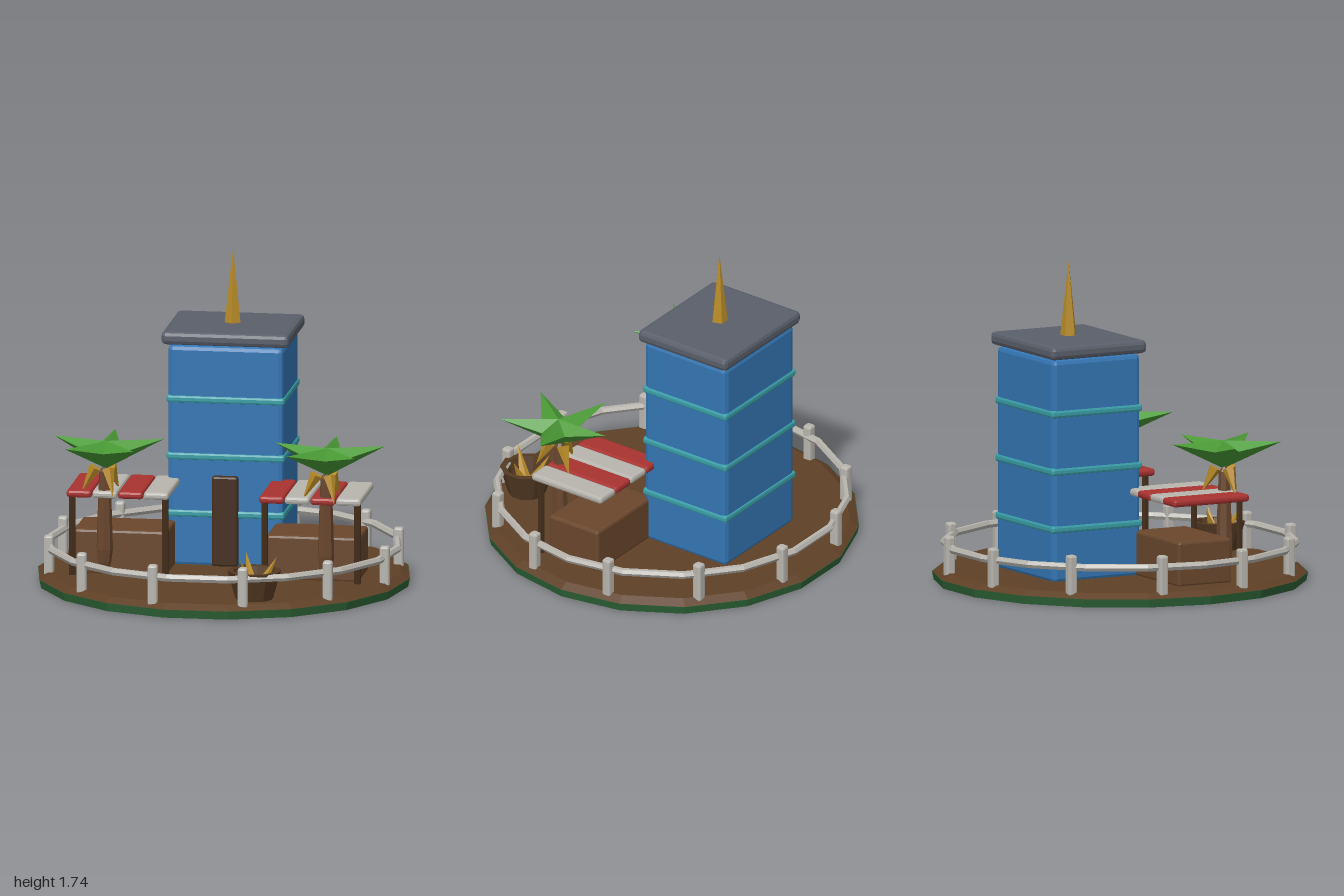
import * as THREE from 'three';
import { RoundedBoxGeometry } from 'three/addons/geometries/RoundedBoxGeometry.js';

const material = (color, side = THREE.FrontSide) => {
  const m = new THREE.MeshStandardMaterial({ color, side });
  m.flatShading = true;
  return m;
};
const MAT = {
  grass: material(0x2c6236), soil: material(0x5f4026), wall: material(0x3376b4),
  band: material(0x3a9fa8), roof: material(0x5a5f6b), gold: material(0xb98c28),
  door: material(0x432d1a), wood: material(0x6a472c), trunk: material(0x6a472e),
  red: material(0xa83230), white: material(0xb8b5ae), leaf: material(0x4a9a35),
  pot: material(0x553a22, THREE.DoubleSide),
};

function add(parent, name, geometry, mat, x = 0, y = 0, z = 0) {
  const mesh = new THREE.Mesh(geometry, mat);
  mesh.name = name;
  mesh.position.set(x, y, z);
  parent.add(mesh);
  return mesh;
}

function group(parent, name, x = 0, y = 0, z = 0) {
  const g = new THREE.Group();
  g.name = name;
  g.position.set(x, y, z);
  parent.add(g);
  return g;
}

// Chamfered box standing on height y
const block = (parent, name, mat, [w, h, d], x, y, z, bevel = 0.015) =>
  add(parent, name, new RoundedBoxGeometry(w, h, d, 1, bevel), mat, x, y + h / 2, z);

// Five-sided spike running from one point to another
function spike(parent, name, radius, from, to) {
  const a = new THREE.Vector3(...from), dir = new THREE.Vector3(...to).sub(a);
  const geo = new THREE.ConeGeometry(radius, dir.length(), 5);
  geo.translate(0, dir.length() / 2, 0);
  const mesh = add(parent, name, geo, MAT.gold, ...from);
  mesh.quaternion.setFromUnitVectors(new THREE.Vector3(0, 1, 0), dir.normalize());
}

// Star-shaped crown: ridged arms on top, meeting in a point below
function crownGeometry(tipRadius, valleyRadius) {
  const ring = [], pos = [];
  for (let i = 0; i < 10; i++) {
    const a = (i * Math.PI) / 5, tip = i % 2 === 0;
    const r = tip ? tipRadius : valleyRadius;
    ring.push([Math.sin(a) * r, tip ? 0.15 : 0.1, -Math.cos(a) * r]);
  }
  ring.forEach((p, i) => {
    const q = ring[(i + 1) % 10];
    pos.push(0, 0.15, 0, ...q, ...p, 0, 0, 0, ...p, ...q);
  });
  const geo = new THREE.BufferGeometry();
  geo.setAttribute('position', new THREE.Float32BufferAttribute(pos, 3));
  geo.computeVertexNormals();
  return geo;
}

function buildTower(parent) {
  const tower = group(parent, 'tower', 0, 0, -0.312);
  block(tower, 'towerBody', MAT.wall, [0.62, 1.2, 0.535], 0, 0.06, 0, 0.025);
  for (const y of [0.33, 0.64, 0.95])
    block(tower, 'towerBand', MAT.band, [0.635, 0.04, 0.55], 0, y, 0, 0.012);
  block(tower, 'towerRoof', MAT.roof, [0.685, 0.07, 0.58], 0, 1.265, 0, 0.022);
  spike(tower, 'roofSpire', 0.045, [0, 1.34, 0], [0, 1.74, 0]);
  block(tower, 'door', MAT.door, [0.14, 0.49, 0.06], 0, 0.07, 0.265, 0.012);
}

function buildStall(parent, x) {
  const stall = group(parent, 'stall', x, 0, 0);
  block(stall, 'counter', MAT.wood, [0.5, 0.245, 0.325], 0, 0.065, 0.09, 0.015);
  for (const side of [-1, 1])
    add(stall, 'awningPost', new THREE.CylinderGeometry(0.019, 0.019, 0.44, 6), MAT.door, side * 0.25, 0.285, 0.3);
  for (let i = 0; i < 4; i++)
    block(stall, 'awningStripe', i % 2 ? MAT.white : MAT.red, [0.134, 0.04, 0.46], (i - 1.5) * 0.138, 0.5, 0.12, 0.014);
}

function buildPalm(parent, x) {
  const palm = group(parent, 'palm', x, 0, 0.305);
  const profile = [[0, 0.09], [0.018, 0.095], [0.036, 0.15], [0.045, 0.22], [0.038, 0.45], [0.03, 0.64], [0, 0.68]];
  add(palm, 'palmTrunk', new THREE.LatheGeometry(profile.map(p => new THREE.Vector2(...p)), 7), MAT.trunk);
  add(palm, 'palmCrown', crownGeometry(0.31, 0.11), MAT.leaf, 0.01, 0.655, 0);
  // Dry fronds hanging below the crown
  for (let i = 0; i < 3; i++) {
    const a = Math.PI / 3 + (i * Math.PI * 2) / 3, c = Math.cos(a), s = Math.sin(a);
    spike(palm, 'dryFrond', 0.035, [c * 0.05, 0.66, s * 0.05], [c * 0.125, 0.52, s * 0.125]);
  }
}

function buildPlanter(parent) {
  const planter = group(parent, 'planter', 0.28, 0, 0.75);
  const profile = [[0, 0.07], [0.1, 0.07], [0.145, 0.225], [0.115, 0.225], [0.09, 0.12], [0, 0.12]];
  add(planter, 'planterPot', new THREE.LatheGeometry(profile.map(p => new THREE.Vector2(...p)), 10), MAT.pot);
  for (let i = 0; i < 3; i++) {
    const a = (i * Math.PI * 2) / 3, c = Math.cos(a), s = Math.sin(a);
    spike(planter, 'planterLeaf', 0.035, [c * 0.03, 0.13, s * 0.03], [c * 0.12, 0.3, s * 0.12]);
  }
}

function buildFence(parent) {
  const fence = group(parent, 'fence');
  const rail = add(fence, 'fenceRail', new THREE.TorusGeometry(0.935, 0.021, 6, 18), MAT.white, 0, 0.205, 0);
  rail.rotation.x = Math.PI / 2;
  for (let i = 0; i < 12; i++) {
    const a = ((i + 0.5) * Math.PI) / 6;
    block(fence, 'fencePost', MAT.white, [0.052, 0.22, 0.052], Math.cos(a) * 0.935, 0.05, Math.sin(a) * 0.935, 0.012);
  }
}

export function createModel() {
  const model = new THREE.Group();
  model.name = 'seasideTower';

  // Grassy slab with a packed earth top
  const slab = group(model, 'base');
  slab.rotation.y = Math.PI / 2;
  add(slab, 'grassSlab', new THREE.CylinderGeometry(1, 0.99, 0.045, 18), MAT.grass, 0, 0.0225, 0);
  add(slab, 'earthTop', new THREE.CylinderGeometry(0.95, 0.998, 0.027, 18), MAT.soil, 0, 0.0585, 0);

  buildTower(model);
  for (const x of [-0.52, 0.515]) buildStall(model, x);
  for (const x of [-0.595, 0.595]) buildPalm(model, x);
  buildPlanter(model);
  buildFence(model);
  return model;
}
